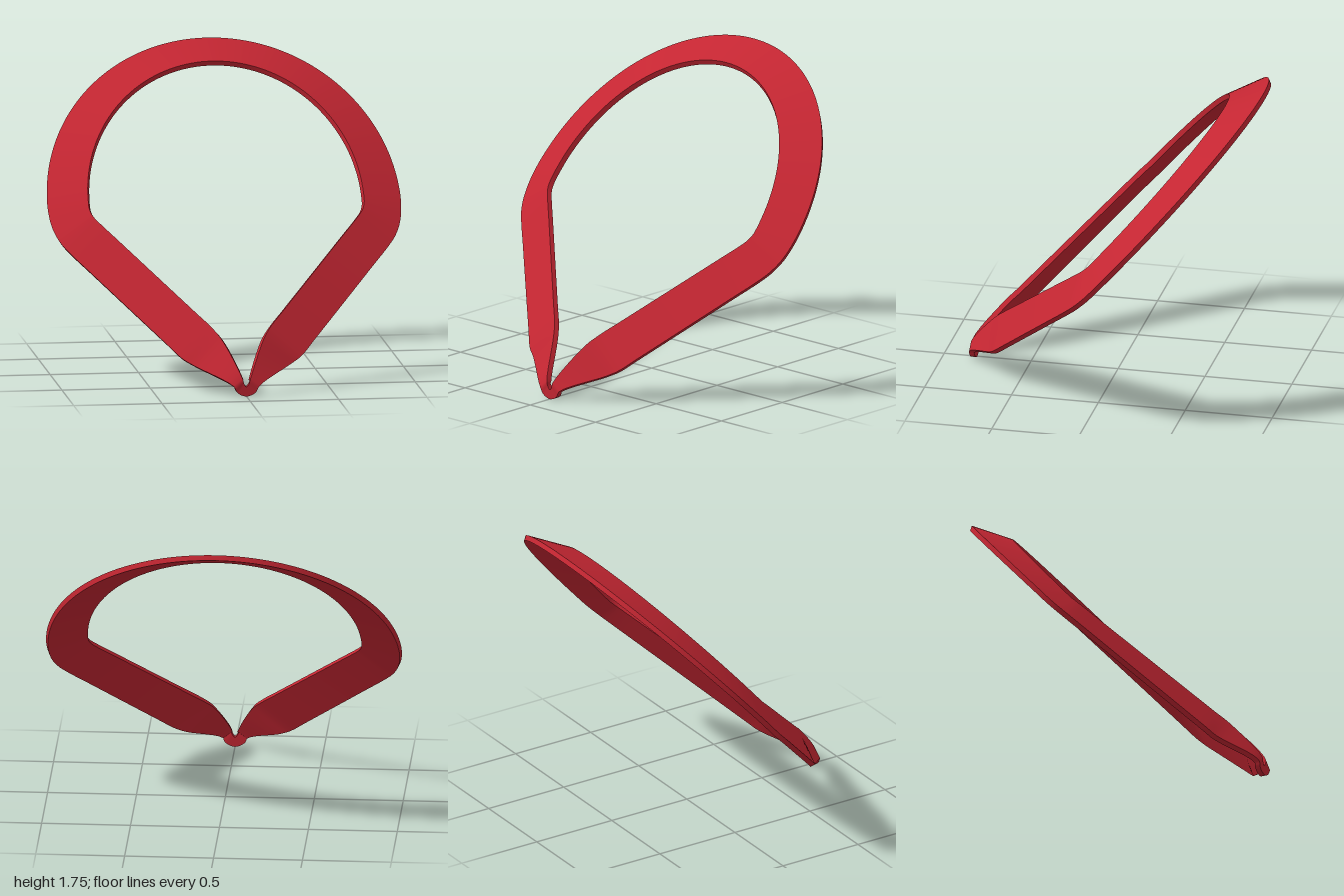
import * as THREE from 'three';

const THICKNESS = 0.03;

// Height-to-depth slope of the tilted loop, bending slightly at mid height
const outerZ = (y) => (0.81 - y) / (y > 0.81 ? 1.127 : 0.97);
const innerZ = (y) => (0.94 - y) / (y > 0.94 ? 1.164 : 0.94);

// Outer and inner edge points of one half, from the top centre to the tip
function halfEdges() {
  const rows = [];
  for (let i = 0; i <= 10; i++) {
    const a = (Math.PI / 2) * (1 - i / 10);
    const c = Math.cos(a), s = Math.sin(a);
    rows.push([c, 0.93 + 0.82 * s, 0.78 * c, 0.97 + 0.685 * s]);
  }
  // Rounded corner, straight arm, taper
  rows.push(
    [0.985, 0.83, 0.777, 0.935],
    [0.95, 0.76, 0.763, 0.905],
    [0.9, 0.705, 0.735, 0.875],
    [0.8, 0.613, 0.634, 0.783],
    [0.62, 0.447, 0.452, 0.617],
    [0.42, 0.263, 0.25, 0.433],
    [0.34, 0.19, 0.17, 0.36],
    [0.28, 0.155, 0.118, 0.297],
  );
  const edges = rows.map(([ox, oy, ix, iy]) => [
    new THREE.Vector3(ox, oy, outerZ(oy)),
    new THREE.Vector3(ix, iy, innerZ(iy)),
  ]);
  // Narrow upright tip
  const tip = [[0.075, 0.06, 0.022, 0.1], [0.05, 0.02, 0.013, 0.07], [0, 0, 0, 0.055]];
  for (const [ox, oy, ix, iy] of tip) {
    edges.push([new THREE.Vector3(ox, oy, 0.84), new THREE.Vector3(ix, iy, 0.84)]);
  }
  return edges;
}

// Flat strap of rectangular section swept between the two closed edge curves
function bandGeometry() {
  const half = halfEdges();
  const mirrored = half.slice(1, -1).reverse()
    .map((pair) => pair.map((p) => new THREE.Vector3(-p.x, p.y, p.z)));
  const all = half.concat(mirrored);
  const outer = new THREE.CatmullRomCurve3(all.map((p) => p[0]), true, 'centripetal');
  const inner = new THREE.CatmullRomCurve3(all.map((p) => p[1]), true, 'centripetal');
  const n = all.length * 6;
  const O = [], I = [];
  for (let i = 0; i < n; i++) {
    O.push(outer.getPoint(i / n));
    I.push(inner.getPoint(i / n));
  }

  const rings = O.map((o, i) => {
    const next = (i + 1) % n, prev = (i + n - 1) % n;
    const along = O[next].clone().add(I[next]).sub(O[prev]).sub(I[prev]);
    const across = I[i].clone().sub(o);
    const drop = across.cross(along).normalize().multiplyScalar(-THICKNESS);
    return [o, I[i], I[i].clone().add(drop), o.clone().add(drop)];
  });

  // Four separate strips keep the strap's long edges sharp
  const positions = [], index = [];
  for (let k = 0; k < 4; k++) {
    const base = k * n * 2;
    rings.forEach((ring, i) => {
      positions.push(...ring[k].toArray(), ...ring[(k + 1) % 4].toArray());
      const a = base + i * 2, b = base + ((i + 1) % n) * 2;
      index.push(a, a + 1, b + 1, a, b + 1, b);
    });
  }
  const geometry = new THREE.BufferGeometry();
  geometry.setAttribute('position', new THREE.Float32BufferAttribute(positions, 3));
  geometry.setIndex(index);
  geometry.computeVertexNormals();
  return geometry;
}

export function createModel() {
  const red = new THREE.MeshStandardMaterial({ color: 0xc42632 });
  red.name = 'red';
  const group = new THREE.Group();
  group.name = 'loopBand';
  const band = new THREE.Mesh(bandGeometry(), red);
  band.name = 'band';
  group.add(band);
  return group;
}
